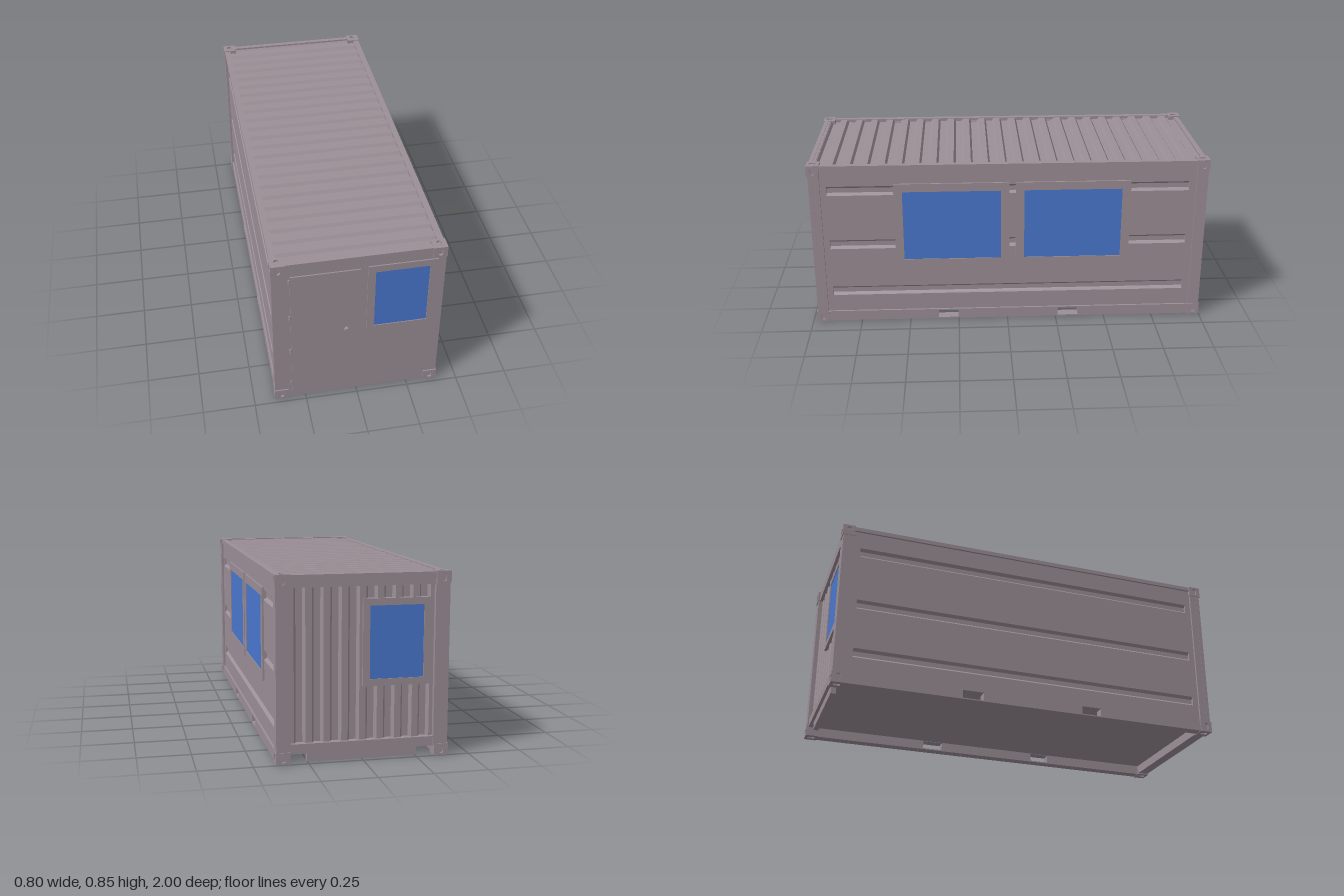
import * as THREE from 'three';

const body = new THREE.MeshStandardMaterial({ color: 0x9c8f97, flatShading: true });
const glass = new THREE.MeshStandardMaterial({ color: 0x4a78d0, flatShading: true });

export function createModel() {
  const model = new THREE.Group();

  const add = (name, geometry, material = body, parent = model) => {
    const mesh = new THREE.Mesh(geometry, material);
    mesh.name = name;
    parent.add(mesh);
    return mesh;
  };

  // Box given by its limits on each axis
  const box = (name, x0, x1, y0, y1, z0, z1, material, parent) =>
    add(name, new THREE.BoxGeometry(x1 - x0, y1 - y0, z1 - z0), material, parent)
      .position.set((x0 + x1) / 2, (y0 + y1) / 2, (z0 + z1) / 2);

  const extrude = (shape, depth) =>
    new THREE.ExtrudeGeometry(shape, { depth, bevelEnabled: false, curveSegments: 4 });

  const polygon = (points) => new THREE.Shape(points.map(([x, y]) => new THREE.Vector2(x, y)));

  const rect = (x0, x1, y0, y1) => polygon([[x0, y0], [x1, y0], [x1, y1], [x0, y1]]);

  // Cross-section of a pressed sheet: s runs along the sheet, d is height over its face
  const pressed = (start, end, centres, half, slope, depth, thick) => {
    const points = [[start, 0]];
    for (const c of centres) {
      points.push([c - half, 0], [c - half + slope, -depth], [c + half - slope, -depth], [c + half, 0]);
    }
    points.push([end, 0], [end, -thick], [start, -thick]);
    return points;
  };

  // Window in a raised frame, facing +z
  const addWindow = (name, w, h, margin, depth) => {
    const group = new THREE.Group();
    group.name = name;
    const frame = rect(-w / 2 - margin, w / 2 + margin, -h / 2 - margin, h / 2 + margin);
    frame.holes.push(rect(-w / 2, w / 2, -h / 2, h / 2));
    add('windowFrame', extrude(frame, depth), body, group);
    box('windowPane', -w / 2, w / 2, -h / 2, h / 2, 0, depth - 0.004, glass, group);
    model.add(group);
    return group;
  };

  // Roof with grooves running across
  const roofCentres = Array.from({ length: 23 }, (_, i) => -0.016 + (i - 11) * 0.0843);
  const roofShape = polygon(pressed(-0.975, 0.955, roofCentres, 0.026, 0.01, 0.014, 0.03)
    .map(([s, d]) => [-s, 0.843 + d]));
  const roof = extrude(roofShape, 0.736);
  roof.rotateY(Math.PI / 2);
  roof.translate(-0.368, 0, 0);
  add('roof', roof);

  // Side walls with three long grooves, closed by plain strips at both ends
  for (const side of [-1, 1]) {
    const wallShape = polygon(pressed(0.05, 0.83, [0.167, 0.425, 0.712], 0.024, 0.012, 0.014, 0.03)
      .map(([s, d]) => [side * (0.386 + d), s]));
    const wall = extrude(wallShape, 1.795);
    wall.translate(0, 0, -0.905);
    add('sideWall', wall);
    const inner = Math.min(side * 0.356, side * 0.386);
    box('wallEndStrip', inner, inner + 0.03, 0.05, 0.83, 0.89, 0.93);
    box('wallEndStrip', inner, inner + 0.03, 0.05, 0.83, -0.95, -0.905);

    // Top rail and bottom rail with fork pockets
    const rail = Math.min(side * 0.366, side * 0.396);
    box('topRail', rail, rail + 0.03, 0.825, 0.846, -0.95, 0.93);
    const railShape = rect(-0.93, 0.95, 0.002, 0.055);
    railShape.holes.push(rect(-0.355, -0.254, 0.008, 0.048), rect(0.262, 0.366, 0.008, 0.048));
    const bottomRail = extrude(railShape, 0.05);
    bottomRail.rotateY(Math.PI / 2);
    bottomRail.translate(side > 0 ? 0.346 : -0.396, 0, 0);
    add('bottomRail', bottomRail);

    // Corner posts
    const post = Math.min(side * 0.33, side * 0.397);
    box('frontPost', post, post + 0.067, 0.05, 0.8, 0.92, 0.972);
    box('backPost', post, post + 0.067, 0.05, 0.8, -0.996, -0.94);
  }

  // Corner fittings: a core behind three slotted plates
  const slottedPlate = (w, h, slotW, slotH, t) => {
    const shape = rect(-w / 2, w / 2, -h / 2, h / 2);
    const r = slotW / 2, k = slotH / 2 - r;
    const slot = new THREE.Path();
    slot.absarc(0, k, r, 0, Math.PI, false);
    slot.absarc(0, -k, r, Math.PI, 2 * Math.PI, false);
    slot.closePath();
    shape.holes.push(slot);
    const geometry = extrude(shape, t);
    geometry.translate(0, 0, -t / 2);
    return geometry;
  };
  const [fw, fh, fd, t] = [0.067, 0.056, 0.062, 0.01];
  const frontPlate = slottedPlate(fw, fh, 0.022, 0.038, t);
  const sidePlate = slottedPlate(fd, fh, 0.022, 0.038, t).rotateY(Math.PI / 2);
  const capPlate = slottedPlate(fw, fd, 0.022, 0.038, t).rotateX(Math.PI / 2);
  const core = new THREE.BoxGeometry(fw - t, fh - t, fd - t);
  for (const sx of [-1, 1]) for (const sy of [-1, 1]) for (const sz of [-1, 1]) {
    const fitting = new THREE.Group();
    fitting.name = 'cornerFitting';
    add('fittingCore', core, body, fitting).position.set(-sx * t / 2, -sy * t / 2, -sz * t / 2);
    add('fittingEndPlate', frontPlate, body, fitting).position.z = sz * (fd - t) / 2;
    add('fittingSidePlate', sidePlate, body, fitting).position.x = sx * (fw - t) / 2;
    add('fittingCapPlate', capPlate, body, fitting).position.y = sy * (fh - t) / 2;
    fitting.position.set(sx * (0.4 - fw / 2), sy > 0 ? 0.85 - fh / 2 : fh / 2,
      sz > 0 ? 0.98 - fd / 2 : -1 + fd / 2);
    model.add(fitting);
  }

  // Floor and end rails
  box('floor', -0.37, 0.37, 0.05, 0.065, -0.96, 0.95);
  box('frontTopRail', -0.37, 0.37, 0.8, 0.846, 0.94, 0.97);
  box('frontSill', -0.34, 0.34, 0.006, 0.06, 0.92, 0.97);
  box('backTopRail', -0.34, 0.34, 0.79, 0.846, -0.99, -0.965);
  box('backSill', -0.34, 0.34, 0.045, 0.09, -0.99, -0.94);
  box('backSillLip', -0.255, 0.255, 0.002, 0.05, -0.975, -0.95);

  // Flat front wall, notched around the fittings
  const frontWall = extrude(polygon([
    [-0.333, 0.006], [0.333, 0.006], [0.333, 0.056], [0.398, 0.056], [0.398, 0.794], [0.333, 0.794],
    [0.333, 0.848], [-0.333, 0.848], [-0.333, 0.794], [-0.398, 0.794], [-0.398, 0.056], [-0.333, 0.056],
  ]), 0.02);
  frontWall.translate(0, 0, 0.954);
  add('frontWall', frontWall);

  // Door with hinges and knob
  box('door', -0.315, 0.005, 0.02, 0.778, 0.97, 0.98);
  for (const y of [0.1, 0.315, 0.53, 0.75]) {
    const hinge = add('doorHinge', new THREE.CylinderGeometry(0.005, 0.005, 0.025, 8));
    hinge.position.set(-0.318, y, 0.976);
  }
  const stem = add('doorKnobStem', new THREE.CylinderGeometry(0.007, 0.007, 0.02, 8).rotateX(Math.PI / 2));
  stem.position.set(-0.055, 0.428, 0.985);
  const knob = add('doorKnob', new THREE.CylinderGeometry(0.012, 0.012, 0.012, 10).rotateX(Math.PI / 2));
  knob.position.set(-0.055, 0.428, 0.994);

  // Back wall with upright grooves
  const backCentres = Array.from({ length: 8 }, (_, i) => (i - 3.5) * 0.082);
  const backWall = extrude(polygon(pressed(-0.335, 0.335, backCentres, 0.026, 0.011, 0.018, 0.035)
    .map(([s, d]) => [s, 0.975 + d])), 0.72);
  backWall.rotateX(-Math.PI / 2);
  backWall.translate(0, 0.08, 0);
  add('backWall', backWall);

  // Windows
  addWindow('frontWindow', 0.25, 0.332, 0.036, 0.01).position.set(0.2, 0.584, 0.97);
  const backWindow = addWindow('backWindow', 0.25, 0.332, 0.032, 0.03);
  backWindow.rotation.y = Math.PI;
  backWindow.position.set(-0.155, 0.535, -0.957);
  for (const z of [0.276, -0.328]) {
    const sideWindow = addWindow('sideWindow', 0.488, 0.364, 0.042, 0.024);
    sideWindow.rotation.y = Math.PI / 2;
    sideWindow.position.set(0.371, 0.523, z);
  }

  return model;
}
